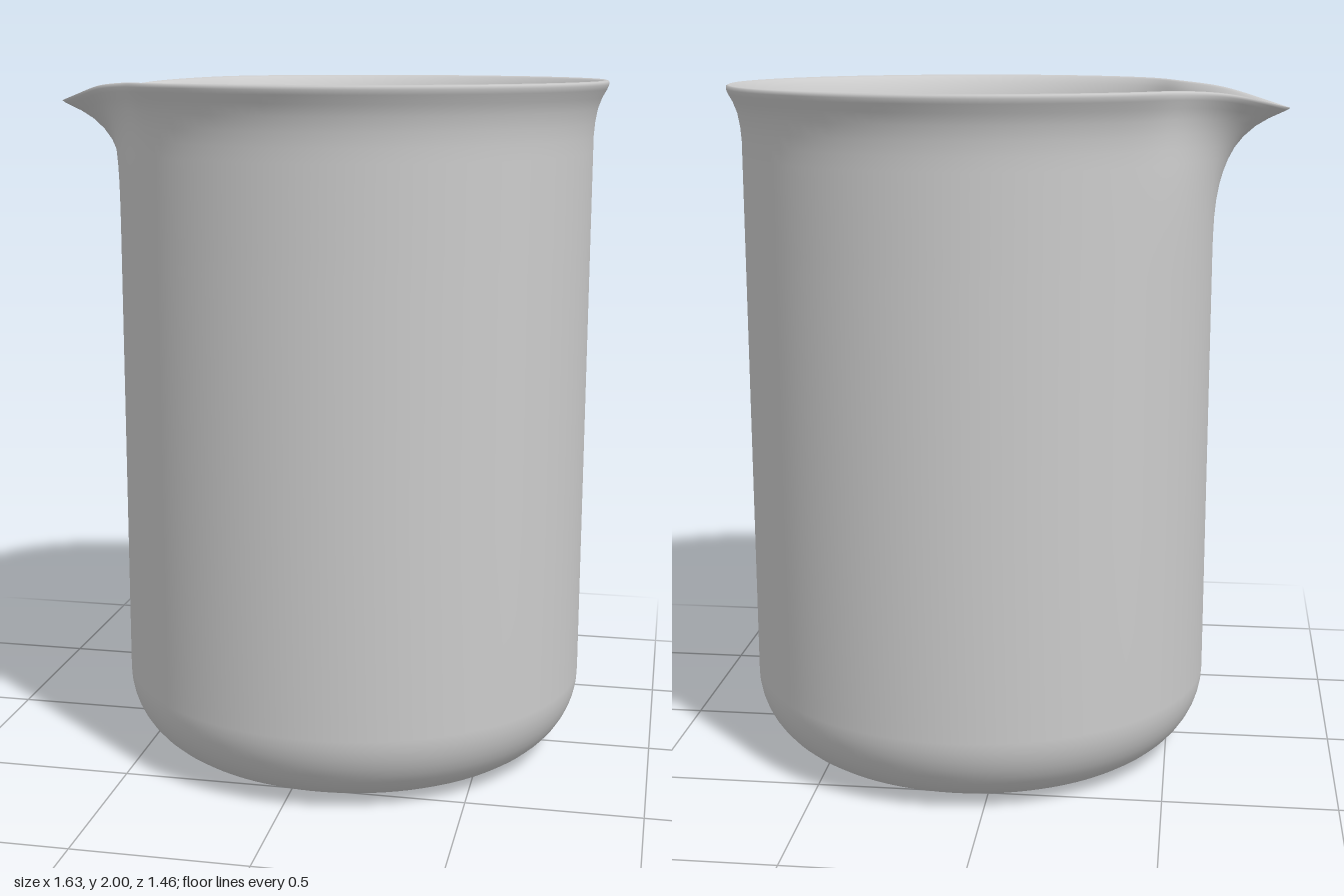
import * as THREE from 'three';
import { mergeVertices } from 'three/addons/utils/BufferGeometryUtils.js';

const CENTER_X = 0.085;
const v2 = (x, y) => new THREE.Vector2(x, y);

// Rounded bottom corner, from the floor (-90 deg) to the wall (0 deg)
function corner(radius, steps = 12) {
  return Array.from({ length: steps + 1 }, (_, i) => {
    const a = -Math.PI / 2 * (1 - i / steps);
    return v2(0.46 + radius * Math.cos(a), 0.23 + radius * Math.sin(a));
  });
}

// Straight wall, divided finely near the top where the spout bends it
function wall(radius) {
  return [0.8, 1.3, 1.5, 1.56, 1.62, 1.67, 1.72, 1.76, 1.8].map((y) => v2(radius, y));
}

// Closed glass section: outside going up, over the lip, inside going down
function glassProfile() {
  return [
    v2(0, 0), ...corner(0.23), ...wall(0.69),
    v2(0.69, 1.84), v2(0.693, 1.88), v2(0.7, 1.92), v2(0.712, 1.952), v2(0.725, 1.975),
    v2(0.73, 1.988), v2(0.729, 1.997), v2(0.722, 2), v2(0.712, 1.995),
    v2(0.698, 1.975), v2(0.683, 1.945), v2(0.67, 1.9), v2(0.662, 1.85),
    ...wall(0.66).reverse(), ...corner(0.2).reverse(), v2(0, 0.03),
  ];
}

function beakerGeometry() {
  const profile = glassProfile();
  const segments = 144;
  const geo = new THREE.LatheGeometry(profile, segments);
  const pos = geo.attributes.position;
  for (let i = 0; i < pos.count; i++) {
    const p = profile[i % profile.length];
    // Angle from the spout, with the columns gathered towards it
    const u = (Math.floor(i / profile.length) / segments) * 2 * Math.PI - Math.PI;
    const a = u - 0.72 * Math.sin(u);
    // Pull the lip out to a point and pinch it on both sides
    const s = Math.hypot(a, 0.035) - 0.035;
    const pinch = 0.034 * Math.exp(-(((Math.abs(a) - 0.56) / 0.2) ** 2));
    const pull = 0.175 * Math.exp(-s / 0.155) - pinch;
    const weight = Math.max(0, (p.y - 1.5) / 0.5) ** 3;
    const r = p.x + pull * weight;
    pos.setXYZ(i, CENTER_X - r * Math.cos(a),
      p.y - 0.065 * Math.exp(-s / 0.2) * weight, r * Math.sin(a));
  }
  // Weld the seam so that the shading runs smoothly round
  geo.deleteAttribute('uv');
  geo.deleteAttribute('normal');
  const welded = mergeVertices(geo, 1e-5);
  welded.computeVertexNormals();
  return welded;
}

export function createModel() {
  const model = new THREE.Group();
  model.name = 'beaker';

  // Glass vessel with flared lip and pouring spout
  const vessel = new THREE.Mesh(beakerGeometry(),
    new THREE.MeshStandardMaterial({ color: 0xcccccc, side: THREE.DoubleSide }));
  vessel.name = 'vessel';
  model.add(vessel);

  // Shallow liquid surface at the bottom
  const liquid = new THREE.Mesh(new THREE.CircleGeometry(0.565, 36).rotateX(-Math.PI / 2),
    new THREE.MeshStandardMaterial({ color: 0x5a8fcb, side: THREE.DoubleSide }));
  liquid.name = 'liquidSurface';
  liquid.position.set(0.08, 0.075, 0.015);
  model.add(liquid);

  return model;
}
